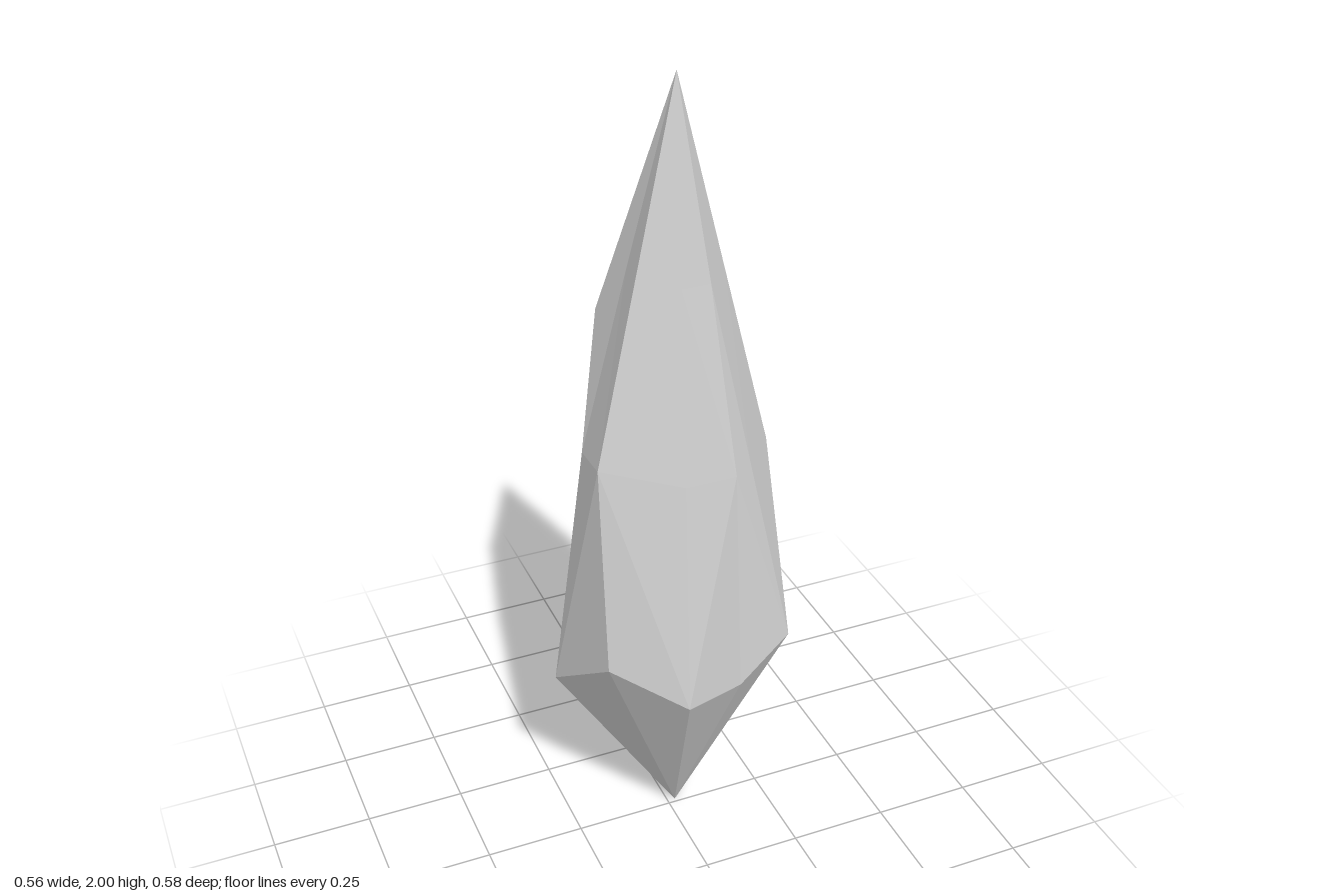
import * as THREE from 'three';

const V = (x, y, z) => new THREE.Vector3(x, y, z);
const TOP = V(0.02, 2, -0.01), BASE = V(0.02, 0, -0.01);

// Point where the straight edge from a to b reaches height y
const at = (a, b, y) => a.clone().lerp(b, (y - a.y) / (b.y - a.y));

// Facet corners, one column per corner of the rim: rim, shoulder, upper, optional ledge above the rim
function buildColumns() {
  const peakFront = V(0.06, 1.55, 0.09), peakBack = V(0.1, 1.55, -0.12);
  const frontRight = V(0.215, 0.655, 0.225), backRight = V(0.27, 0.655, -0.23), back = V(-0.08, 0.56, -0.275);
  const shoulderF = V(-0.225, 1.16, 0.125), shoulderG = V(-0.04, 1.11, 0.19), shoulderJ = V(0.22, 1.11, 0.06);
  return [
    [V(-0.285, 0.475, -0.05), V(-0.2, 1.11, -0.045), V(-0.085, 1.55, -0.045)],
    [V(-0.235, 0.655, 0.195), shoulderF, at(shoulderF, TOP, 1.55)],
    [V(-0.07, 0.56, 0.29), shoulderG, at(shoulderG, TOP, 1.55)],
    [V(0.08, 0.56, 0.25), V(0.085, 1.11, 0.19), peakFront],
    [frontRight, at(frontRight, peakFront, 1.11), peakFront],
    [V(0.28, 0.56, 0.09), shoulderJ, at(shoulderJ, TOP, 1.55)],
    [V(0.27, 0.475, -0.11), V(0.205, 1.11, -0.06), V(0.11, 1.55, -0.05)],
    [backRight, at(backRight, peakBack, 1.11), peakBack],
    [V(0.08, 0.56, -0.295), V(0.074, 1.11, -0.212), peakBack, backRight.clone().lerp(back, 0.54)],
    [back, V(-0.035, 1.11, -0.25), V(0, 1.55, -0.11)],
    [V(-0.165, 0.43, -0.23), V(-0.105, 1.11, -0.21), V(-0.12, 1.415, -0.15)],
  ];
}

function crystalGeometry() {
  const points = [];
  const tri = (a, b, c) => {
    const area = b.clone().sub(a).cross(c.clone().sub(a)).length();
    if (area > 1e-5) points.push(a, b, c);
  };
  // Split each quad along the diagonal that bulges outwards
  const radius = (p, q) => Math.hypot((p.x + q.x) / 2 - TOP.x, (p.z + q.z) / 2 - TOP.z)
    + (p.y + q.y) * 0.12;
  const quad = (a, b, c, d) => {
    if (radius(a, c) > radius(b, d)) { tri(a, b, c); tri(a, c, d); }
    else { tri(a, b, d); tri(b, c, d); }
  };
  const columns = buildColumns().map(([rim, mid, high, ledge]) => [rim, ledge || rim, mid, high]);
  columns.forEach((col, i) => {
    const next = columns[(i + 1) % columns.length];
    tri(BASE, next[0], col[0]);
    for (let r = 0; r < 3; r++) quad(col[r], next[r], next[r + 1], col[r + 1]);
    tri(col[3], next[3], TOP);
  });
  const geometry = new THREE.BufferGeometry().setFromPoints(points);
  geometry.computeVertexNormals();
  return geometry;
}

export function createModel() {
  const group = new THREE.Group();
  group.name = 'crystalShard';
  const material = new THREE.MeshStandardMaterial({ color: 0xcccccc, flatShading: true });
  const crystal = new THREE.Mesh(crystalGeometry(), material);
  crystal.name = 'crystal';
  group.add(crystal);
  return group;
}
